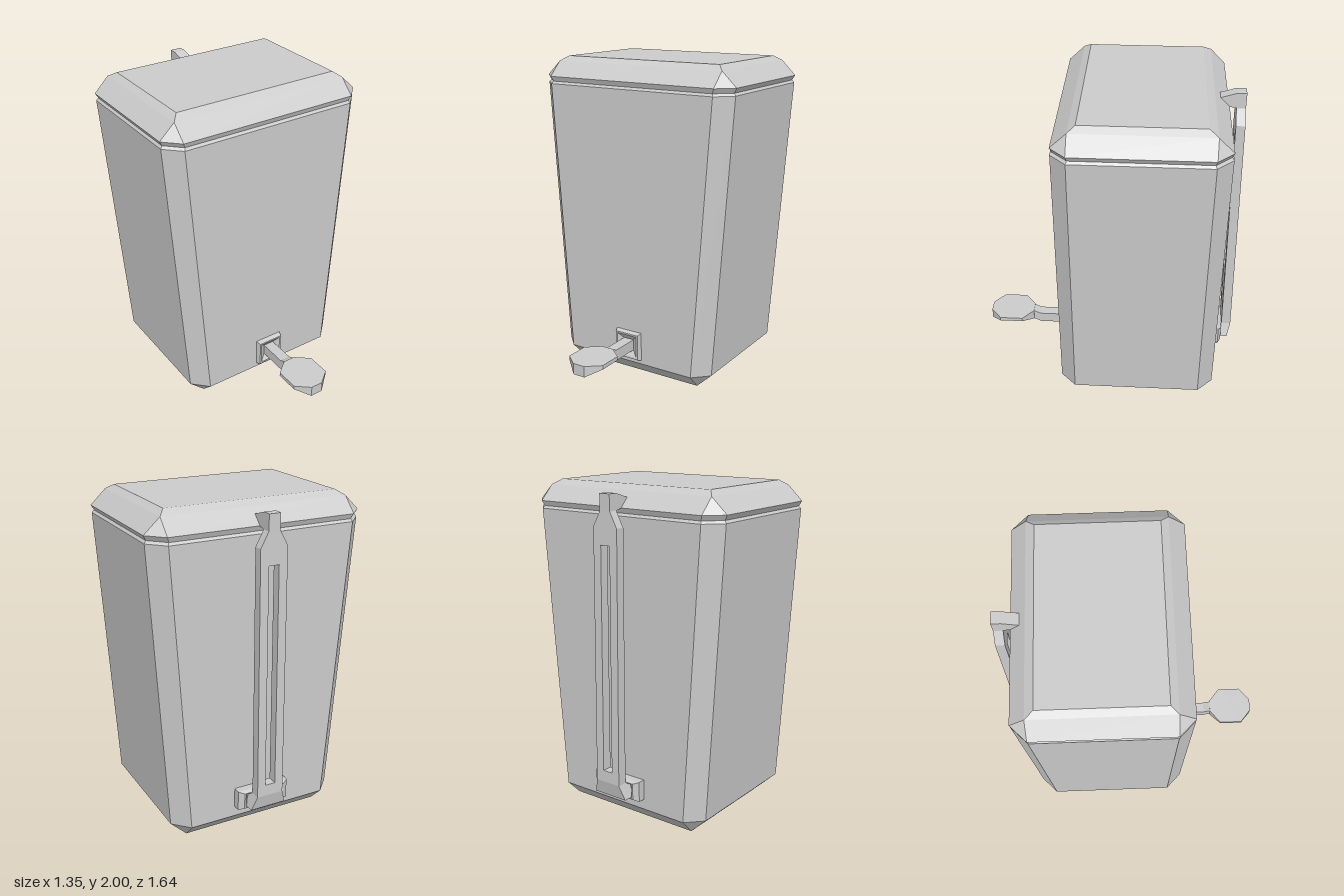
import * as THREE from 'three';

const material = new THREE.MeshStandardMaterial({ color: 0xcccccc, flatShading: true });

function addMesh(parent, name, geometry) {
  const mesh = new THREE.Mesh(geometry, material);
  mesh.name = name;
  parent.add(mesh);
  return mesh;
}

// Closed faceted solid through rings of points (counter-clockwise seen from the end)
function loft(rings) {
  const pos = [];
  const tri = (a, b, c) => {
    if (new THREE.Triangle(a, b, c).getArea() > 1e-7) {
      for (const p of [a, b, c]) pos.push(p.x, p.y, p.z);
    }
  };
  const n = rings[0].length;
  for (let r = 0; r < rings.length - 1; r++) {
    for (let i = 0; i < n; i++) {
      const j = (i + 1) % n;
      tri(rings[r][i], rings[r][j], rings[r + 1][j]);
      tri(rings[r][i], rings[r + 1][j], rings[r + 1][i]);
    }
  }
  const first = rings[0], last = rings[rings.length - 1];
  for (let i = 1; i < n - 1; i++) {
    tri(first[0], first[i + 1], first[i]);
    tri(last[0], last[i], last[i + 1]);
  }
  const geometry = new THREE.BufferGeometry();
  geometry.setAttribute('position', new THREE.Float32BufferAttribute(pos, 3));
  geometry.computeVertexNormals();
  return geometry;
}

// Horizontal rectangle with cut corners, at height y
function levelRing(y, hx, z0, z1, c = 0) {
  return [
    [hx - c, z1], [hx, z1 - c], [hx, z0 + c], [hx - c, z0],
    [c - hx, z0], [-hx, z0 + c], [-hx, z1 - c], [c - hx, z1],
  ].map(([x, z]) => new THREE.Vector3(x, y, z));
}

// Upright rectangle at depth z
function uprightRing(z, hx, y0, y1) {
  return [[-hx, y0], [hx, y0], [hx, y1], [-hx, y1]].map(([x, y]) => new THREE.Vector3(x, y, z));
}

// Pedal section: flat top, short sides, sloping underside
function pedalRing(z, hx, sideY) {
  return [[-0.04, 0.205], [0.04, 0.205], [hx, sideY], [hx, 0.275], [-hx, 0.275], [-hx, sideY]]
    .map(([x, y]) => new THREE.Vector3(x, y, z));
}

export function createModel() {
  const bin = new THREE.Group();
  bin.name = 'pedalBin';

  // Tapered container and lid, meeting in a narrow groove
  addMesh(bin, 'container', loft([
    levelRing(0, 0.45, -0.6, 0.2),
    levelRing(0.095, 0.55, -0.69, 0.295, 0.095),
    levelRing(1.835, 0.67, -0.69, 0.295, 0.095),
    levelRing(1.85, 0.658, -0.678, 0.283, 0.09),
  ]));
  addMesh(bin, 'lid', loft([
    levelRing(1.85, 0.658, -0.678, 0.283, 0.09),
    levelRing(1.88, 0.675, -0.69, 0.295, 0.095),
    levelRing(1.97, 0.58, -0.6, 0.2),
    levelRing(2.0, 0.54, -0.55, 0.155),
  ]));

  // Pedal with its arm and recessed wall frame
  const pedal = new THREE.Group();
  pedal.name = 'pedalAssembly';
  bin.add(pedal);
  addMesh(pedal, 'pedalFrame', loft([
    uprightRing(0.285, 0.092, 0.12, 0.305),
    uprightRing(0.295, 0.092, 0.12, 0.305),
    uprightRing(0.325, 0.083, 0.13, 0.295),
    uprightRing(0.325, 0.072, 0.142, 0.285),
    uprightRing(0.3, 0.036, 0.18, 0.25),
  ]));
  addMesh(pedal, 'pedalArm', loft([
    uprightRing(0.295, 0.035, 0.18, 0.25),
    uprightRing(0.485, 0.035, 0.18, 0.25),
    uprightRing(0.535, 0.035, 0.206, 0.274),
  ]));
  addMesh(pedal, 'pedalPad', loft([
    pedalRing(0.53, 0.04, 0.205),
    pedalRing(0.6, 0.125, 0.25),
    pedalRing(0.75, 0.125, 0.25),
    pedalRing(0.82, 0.04, 0.205),
  ]));

  // Rear lifting lever: wall frame, foot, slotted bar and hook over the lid
  const lever = new THREE.Group();
  lever.name = 'rearLever';
  bin.add(lever);
  const frame = addMesh(lever, 'leverFrame', loft([
    uprightRing(0.68, 0.168, 0.16, 0.285),
    uprightRing(0.735, 0.168, 0.16, 0.285),
    uprightRing(0.755, 0.135, 0.172, 0.273),
    uprightRing(0.755, 0.125, 0.178, 0.267),
    uprightRing(0.725, 0.1, 0.19, 0.255),
  ]));
  frame.rotation.y = Math.PI;
  addMesh(lever, 'leverFoot', loft([
    levelRing(0.18, 0.115, -0.8, -0.725),
    levelRing(0.27, 0.085, -0.82, -0.725),
  ]));

  const outline = new THREE.Shape([
    [-0.085, 0.27], [0.085, 0.27], [0.085, 1.78], [0.036, 1.87], [-0.036, 1.87], [-0.085, 1.78],
  ].map(p => new THREE.Vector2(...p)));
  outline.holes.push(new THREE.Path([
    [-0.032, 0.34], [-0.032, 1.68], [0.032, 1.68], [0.032, 0.34],
  ].map(p => new THREE.Vector2(...p))));
  const bar = new THREE.ExtrudeGeometry(outline, { depth: 1, bevelEnabled: false });
  // Lean the bar so its top sits closer to the bin
  const p = bar.attributes.position;
  for (let i = 0; i < p.count; i++) {
    const t = (p.getY(i) - 0.27) / 1.6;
    const back = THREE.MathUtils.lerp(-0.82, -0.785, t);
    const front = THREE.MathUtils.lerp(-0.76, -0.73, t);
    p.setZ(i, THREE.MathUtils.lerp(back, front, p.getZ(i)));
  }
  bar.computeVertexNormals();
  addMesh(lever, 'leverBar', bar);

  const hookShape = new THREE.Shape([
    [0.785, 1.87], [0.785, 1.965], [0.73, 1.965], [0.635, 1.935], [0.685, 1.88], [0.73, 1.87],
  ].map(q => new THREE.Vector2(...q)));
  const hook = new THREE.ExtrudeGeometry(hookShape, { depth: 0.072, bevelEnabled: false });
  hook.translate(0, 0, -0.036).rotateY(Math.PI / 2);
  addMesh(lever, 'leverHook', hook);

  return bin;
}
